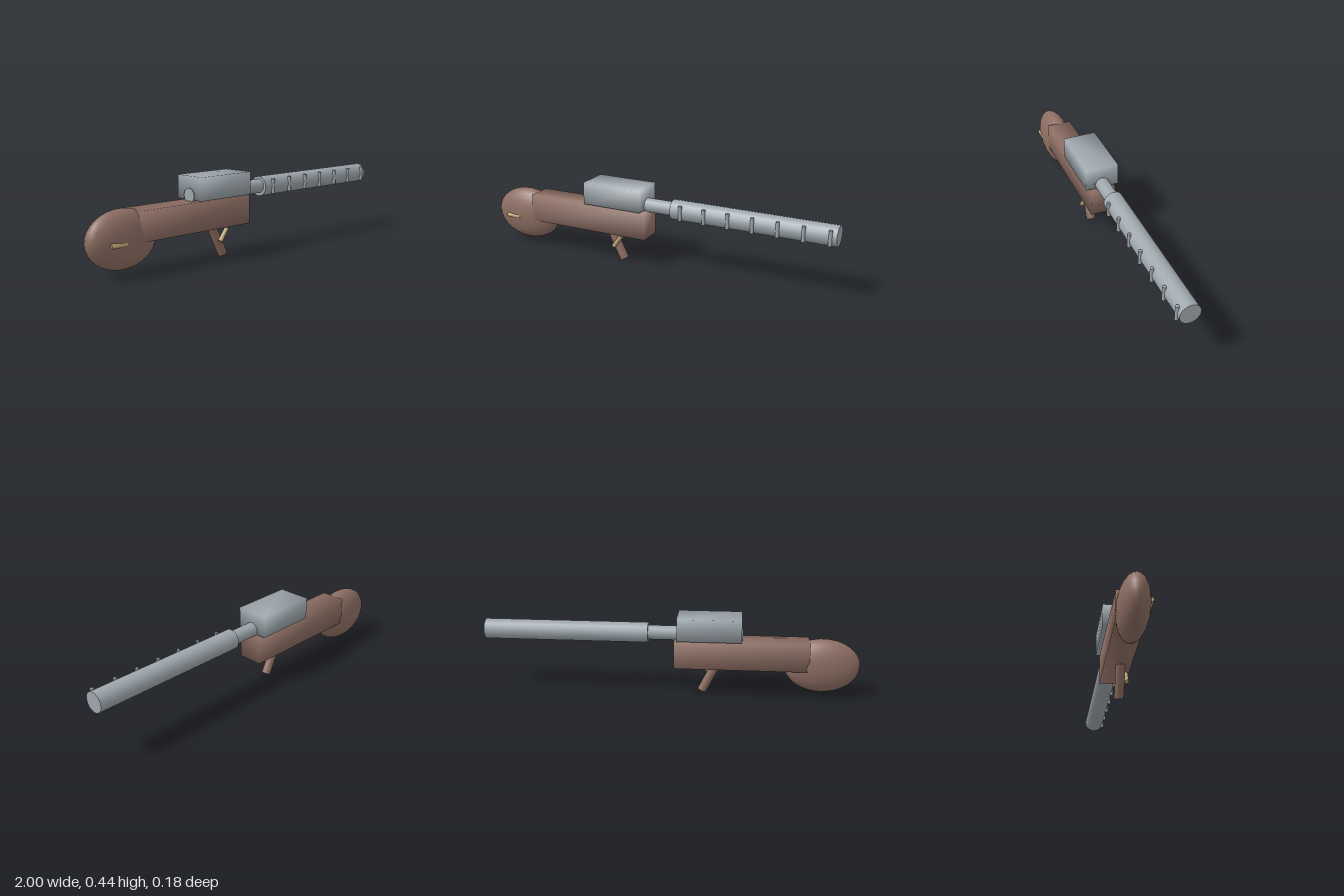
import * as THREE from 'three';
import { mergeVertices } from 'three/addons/utils/BufferGeometryUtils.js';

const material = (name, color) => {
  const m = new THREE.MeshStandardMaterial({ color });
  m.name = name;
  return m;
};

export function createModel() {
  const wood = material('brown wood', 0x8d6e63);
  const steel = material('grey steel', 0x9ea7ad);
  const brass = material('tan brass', 0xc0a878);
  const model = new THREE.Group();
  model.name = 'longGun';

  const add = (name, geometry, mat) => {
    const mesh = new THREE.Mesh(geometry, mat);
    mesh.name = name;
    model.add(mesh);
    return mesh;
  };

  // Box given by its limits, with normals shared across the corners
  const softBox = (name, mat, [x0, x1], [y0, y1], halfZ) => {
    let g = new THREE.BoxGeometry(x1 - x0, y1 - y0, halfZ * 2);
    g.deleteAttribute('normal');
    g.deleteAttribute('uv');
    g = mergeVertices(g);
    g.computeVertexNormals();
    add(name, g, mat).position.set((x0 + x1) / 2, (y0 + y1) / 2, 0);
  };

  // Round rod between two points
  const rod = (name, mat, a, b, radius, sides = 16) => {
    const from = new THREE.Vector3(...a), to = new THREE.Vector3(...b);
    const axis = to.clone().sub(from);
    const mesh = add(name, new THREE.CylinderGeometry(radius, radius, axis.length(), sides), mat);
    mesh.position.copy(from).add(to).multiplyScalar(0.5);
    mesh.quaternion.setFromUnitVectors(new THREE.Vector3(0, 1, 0), axis.normalize());
  };

  // Stock: flattened rounded butt and long body
  const butt = add('butt', new THREE.SphereGeometry(1, 24, 16), wood);
  butt.scale.set(0.2, 0.146, 0.077);
  butt.position.set(-0.8, 0.178, 0);
  softBox('stockBody', wood, [-0.73, -0.02], [0.16, 0.311], 0.069);

  // Receiver, inner barrel and thick barrel jacket
  softBox('receiver', steel, [-0.375, -0.035], [0.317, 0.437], 0.09);
  rod('barrel', steel, [-0.38, 0.338, 0], [0.14, 0.338, 0], 0.038);
  rod('barrelJacket', steel, [0.12, 0.337, 0], [0.998, 0.337, 0], 0.054);

  // Upright ribs along the left side of the jacket
  for (let i = 0; i < 7; i++) {
    const x = 0.18 + i * 0.131;
    rod('jacketRib', steel, [x, 0.297, 0.051], [x, 0.377, 0.051], 0.0095, 12);
  }

  // Slanted grip, trigger and stock inlay
  rod('grip', wood, [-0.248, 0.172, 0.016], [-0.167, 0.013, 0.016], 0.0245);
  rod('trigger', brass, [-0.169, 0.152, 0.051], [-0.215, 0.088, 0.051], 0.012, 12);
  rod('stockInlay', brass, [-0.905, 0.167, 0.066], [-0.82, 0.167, 0.066], 0.012, 12);

  return model;
}
